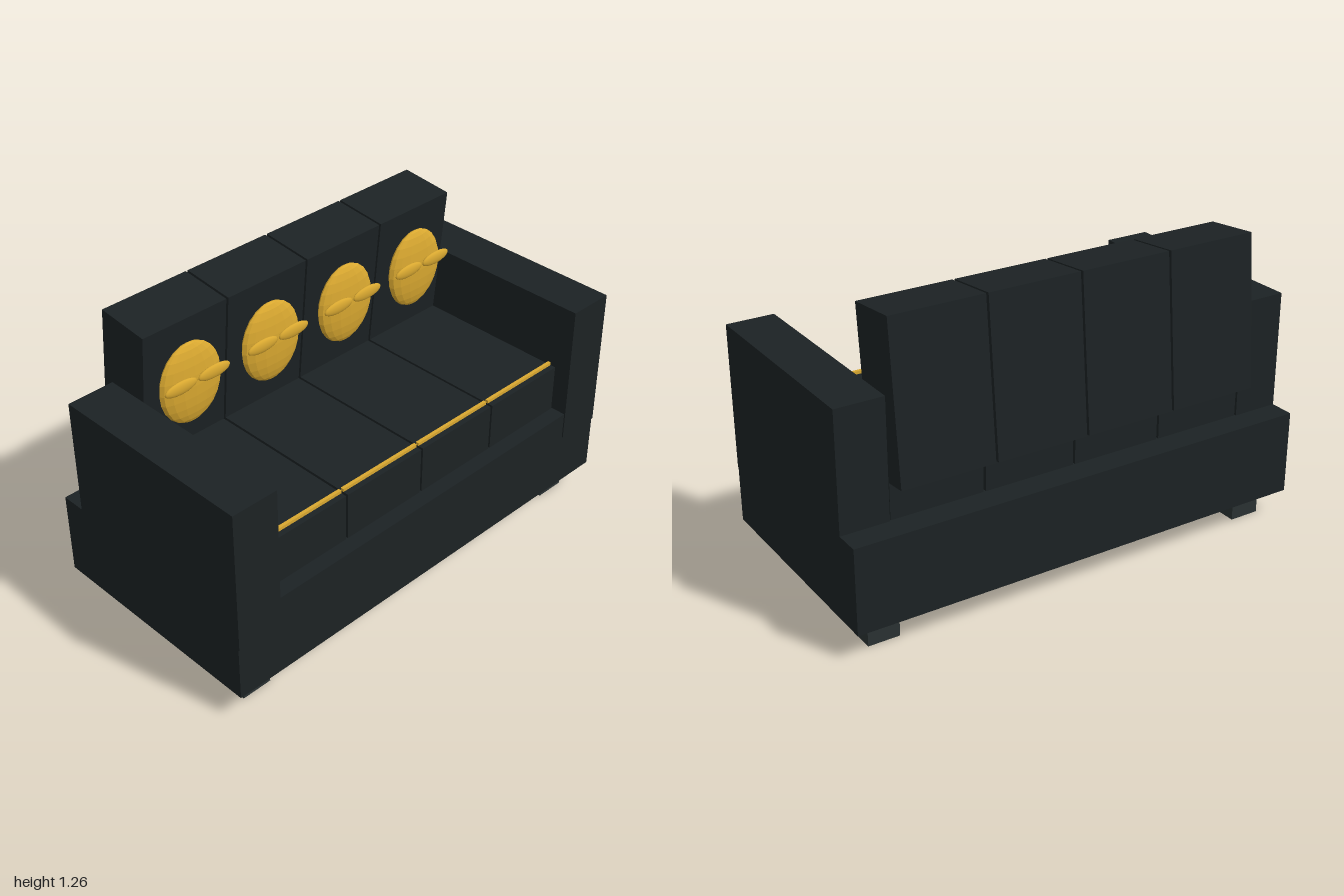
import * as THREE from 'three';

const dark = new THREE.MeshStandardMaterial({ color: 0x1c2224, flatShading: true });
const footMat = new THREE.MeshStandardMaterial({ color: 0x2a3233, flatShading: true });
const gold = new THREE.MeshStandardMaterial({ color: 0xd9a830, flatShading: true });
const goldSmooth = new THREE.MeshStandardMaterial({ color: 0xd9a830 });

export function createModel() {
  const model = new THREE.Group();
  model.name = 'sofa';

  // Box given by its size and centre
  function box(name, material, [w, h, d], [x, y, z]) {
    const mesh = new THREE.Mesh(new THREE.BoxGeometry(w, h, d), material);
    mesh.name = name;
    mesh.position.set(x, y, z);
    model.add(mesh);
    return mesh;
  }

  // Ellipsoid given by its radii and centre
  function ellipsoid(name, material, radii, [x, y, z], segments) {
    const geometry = new THREE.SphereGeometry(1, ...segments).scale(...radii);
    const mesh = new THREE.Mesh(geometry, material);
    mesh.name = name;
    mesh.position.set(x, y, z);
    model.add(mesh);
  }

  // Base frame
  box('base', dark, [2, 0.355, 1], [0, 0.2925, 0]);

  // Arms and feet
  for (const side of [-1, 1]) {
    box('arm', dark, [0.2, 0.61, 0.9], [side * 0.9, 0.657, 0.055]);
    for (const end of [-1, 1]) {
      box('foot', footMat, [0.132, 0.115, 0.132], [side * 0.857, 0.0575, end * 0.356]);
    }
  }

  // Four seats, each with a forward-leaning back cushion and a gold ornament
  for (const x of [-0.6, -0.2, 0.2, 0.6]) {
    box('seatCushion', dark, [0.39, 0.205, 0.825], [x, 0.5725, 0.0225]);
    box('seatTrim', gold, [0.39, 0.014, 0.014], [x, 0.681, 0.404]);
    const back = box('backCushion', dark, [0.39, 0.638, 0.231], [x, 0.935, -0.335]);
    back.rotation.x = 0.094;

    ellipsoid('ornamentFace', gold, [0.146, 0.173, 0.037], [x, 0.97, -0.186], [16, 12]);
    for (const side of [-1, 1]) {
      ellipsoid('ornamentEye', goldSmooth, [0.077, 0.028, 0.012], [x + side * 0.079, 1.003, -0.14], [16, 12]);
    }
  }

  return model;
}
